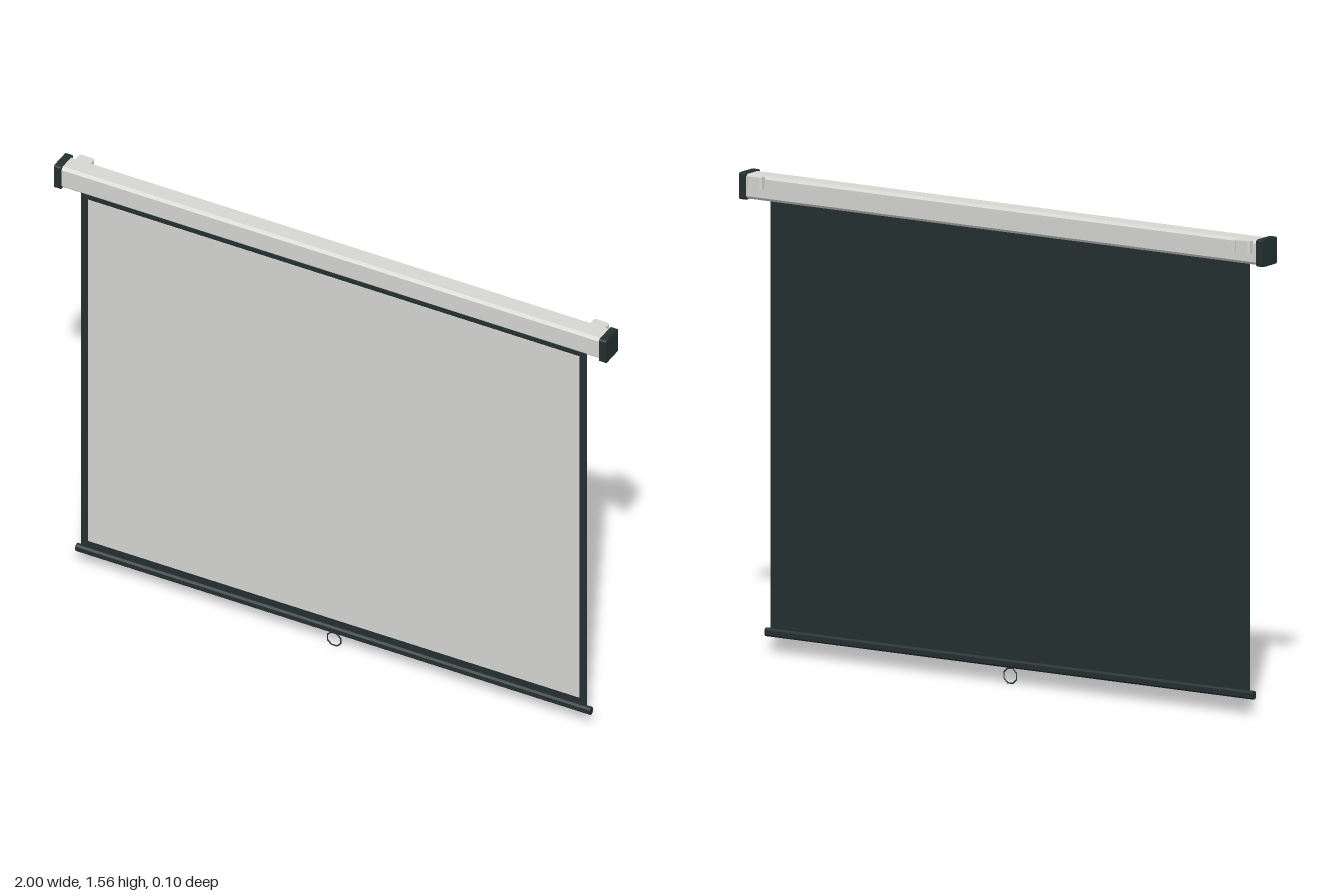
import * as THREE from 'three';

const pale = new THREE.MeshStandardMaterial({ color: 0xd6d6d3 });
pale.name = 'paleGrey';
const dark = new THREE.MeshStandardMaterial({ color: 0x243031 });
dark.name = 'darkSlate';

// Rectangle with cut corners, extruded and centred on the origin
function chamferedPrism(w, h, cut, length) {
  const a = w / 2, b = h / 2, c = cut;
  const shape = new THREE.Shape([
    [-a + c, -b], [a - c, -b], [a, -b + c], [a, b - c],
    [a - c, b], [-a + c, b], [-a, b - c], [-a, -b + c],
  ].map(([x, y]) => new THREE.Vector2(x, y)));
  return new THREE.ExtrudeGeometry(shape, { depth: length, bevelEnabled: false })
    .translate(0, 0, -length / 2);
}

// Prism running along x, with its depth in z and height in y
const beam = (length, height, depth, cut) =>
  chamferedPrism(depth, height, cut, length).rotateY(Math.PI / 2);

export function createModel() {
  const model = new THREE.Group();
  model.name = 'projectionScreen';
  const add = (name, geometry, material, x, y, z) => {
    const mesh = new THREE.Mesh(geometry, material);
    mesh.name = name;
    mesh.position.set(x, y, z);
    model.add(mesh);
    return mesh;
  };

  // Roller housing
  add('housing', beam(1.96, 0.08, 0.074, 0.009), pale, 0, 1.515, 0.008);

  // End caps and wall brackets, mirrored
  for (const side of [-1, 1]) {
    const prefix = side > 0 ? 'left' : 'right';
    add(prefix + 'EndCap', beam(0.025, 0.087, 0.082, 0.004), dark, side * 0.9875, 1.5155, 0.009);
    const bracket = chamferedPrism(0.055, 0.03, 0.006, 0.04).rotateX(Math.PI / 2);
    add(prefix + 'WallBracket', bracket, pale, side * 0.932, 1.534, -0.035);
  }

  // Dark fabric, with the pale viewing surface on its front
  add('fabric', new THREE.BoxGeometry(1.83, 1.41, 0.004), dark, 0, 0.775, 0.022);
  add('viewingSurface', new THREE.BoxGeometry(1.78, 1.34, 0.002), pale, 0, 0.777, 0.0247);

  // Weight bar and pull ring
  add('bottomBar', beam(1.864, 0.027, 0.021, 0.006), dark, 0, 0.067, 0.022);
  const ring = new THREE.TorusGeometry(0.026, 0.0025, 6, 8).rotateZ(Math.PI / 8);
  add('pullRing', ring, dark, 0, 0.0275, 0.022);

  return model;
}
